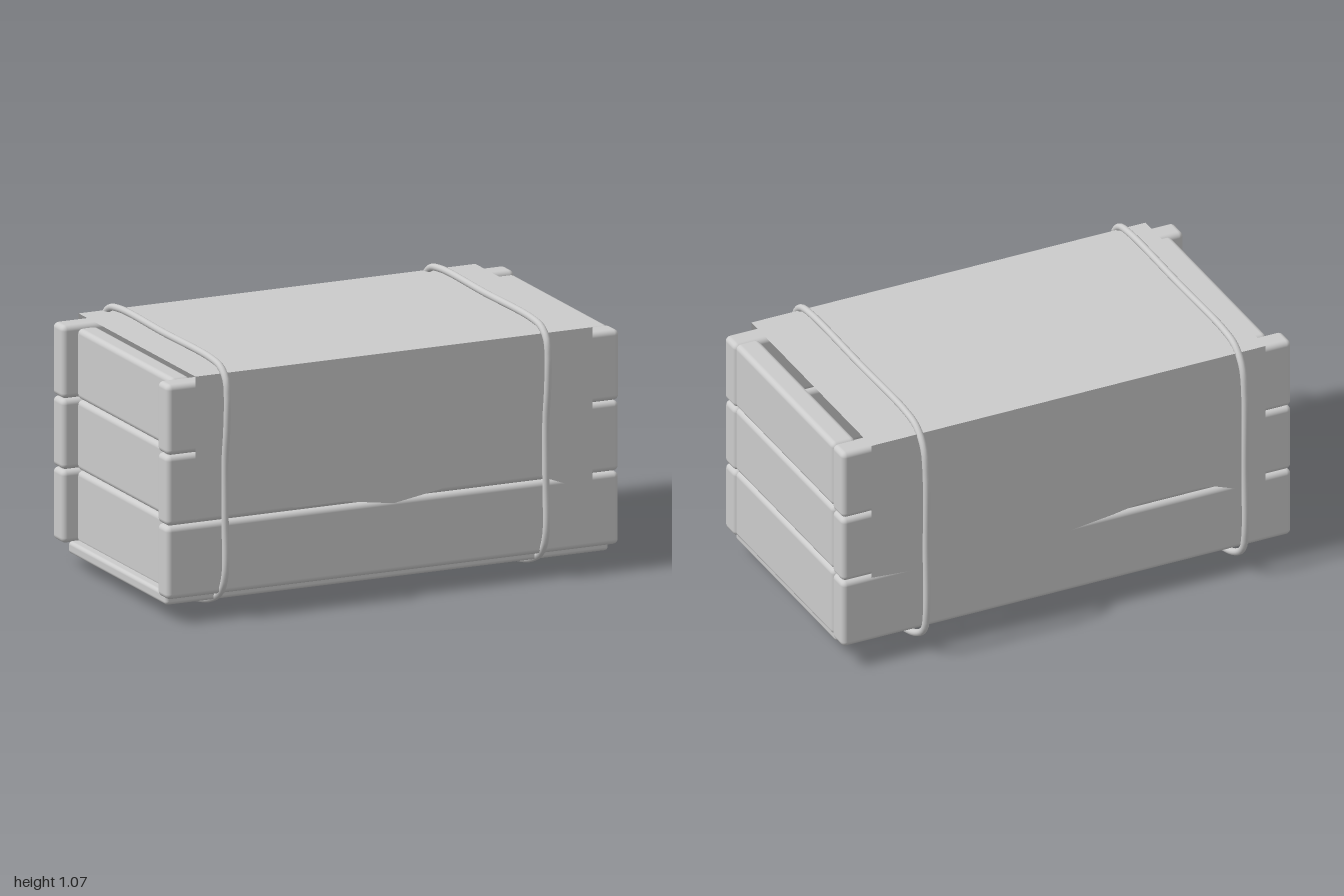
import * as THREE from 'three';
import { RoundedBoxGeometry } from 'three/addons/geometries/RoundedBoxGeometry.js';

const material = new THREE.MeshStandardMaterial({ color: 0xcccccc });
const clothMaterial = new THREE.MeshStandardMaterial({ color: 0xcccccc, side: THREE.DoubleSide });

// Board with softened edges, given by its min and max on each axis
function board(name, [x0, x1], [y0, y1], [z0, z1], radius = 0.022) {
  const geometry = new RoundedBoxGeometry(x1 - x0, y1 - y0, z1 - z0, 3, radius);
  const mesh = new THREE.Mesh(geometry, material);
  mesh.position.set((x0 + x1) / 2, (y0 + y1) / 2, (z0 + z1) / 2);
  mesh.name = name;
  return mesh;
}

// Hanging cloth panel with a ragged lower edge
function clothDrop(name, z, edge) {
  const shape = new THREE.Shape();
  shape.moveTo(-0.875, 1.01);
  edge.forEach(([x, y]) => shape.lineTo(x, y));
  shape.lineTo(0.875, 1.01);
  const mesh = new THREE.Mesh(new THREE.ShapeGeometry(shape), clothMaterial);
  mesh.position.z = z;
  mesh.name = name;
  return mesh;
}

export function createModel() {
  const model = new THREE.Group();
  model.name = 'coveredCrate';

  // Three courses of planks on each wall
  const crate = new THREE.Group();
  crate.name = 'crate';
  const courses = [[0.1, 0.4], [0.403, 0.692], [0.695, 0.985]];
  courses.forEach((y, i) => {
    const top = i === 2 ? 0.01 : 0;
    crate.add(
      board('frontPlank', [-0.998, 0.998], y, [0.445, 0.54 + top * 0.4]),
      board('backPlank', [-0.998, 0.998], [y[0], y[1] + top], [-0.518, -0.42]),
      board('leftPlank', [0.885, 0.99], y, [-0.415, 0.465]),
      board('rightPlank', [-0.94, -0.85], y, [-0.415, 0.455])
    );
  });
  crate.add(board('floorBoard', [-0.98, 0.975], [0.065, 0.115], [-0.41, 0.49], 0.015));
  model.add(crate);

  // Cloth: flat top with a drop at the front and the back
  const cloth = new THREE.Group();
  cloth.name = 'cloth';
  const top = new THREE.Mesh(new THREE.PlaneGeometry(1.75, 1.074), clothMaterial);
  top.name = 'clothTop';
  top.rotation.x = -Math.PI / 2;
  top.position.set(0, 1.01, 0.008);
  const back = clothDrop('clothBack', -0.529, [
    [-0.875, 0.4], [-0.68, 0.385], [-0.2, 0.36], [0, 0.385], [0.2, 0.41],
    [0.44, 0.45], [0.65, 0.42], [0.875, 0.335]
  ]);
  back.rotation.y = Math.PI;
  const front = clothDrop('clothFront', 0.545, [
    [-0.875, 0.42], [-0.65, 0.505], [-0.44, 0.42], [-0.22, 0.42], [0, 0.387],
    [0.2, 0.42], [0.44, 0.49], [0.65, 0.42], [0.875, 0.335]
  ]);
  cloth.add(top, front, back);
  model.add(cloth);

  // Rope loops around the crate, path given as z, y
  const path = [
    [0.44, 1.046], [0, 1.046], [-0.4, 1.046], [-0.5, 1.025], [-0.562, 0.96],
    [-0.585, 0.83], [-0.585, 0.5], [-0.586, 0.2], [-0.565, 0.125], [-0.48, 0.065],
    [-0.25, 0.017], [0, 0.014], [0.22, 0.017], [0.43, 0.055], [0.53, 0.11],
    [0.568, 0.19], [0.567, 0.4], [0.567, 0.65], [0.582, 0.78], [0.588, 0.92],
    [0.575, 0.99], [0.53, 1.03]
  ].map(([z, y]) => new THREE.Vector3(0, y, z));
  const curve = new THREE.CatmullRomCurve3(path, true, 'centripetal');
  const ropeGeometry = new THREE.TubeGeometry(curve, 160, 0.0145, 12, true);
  [-0.755, 0.66].forEach((x) => {
    const rope = new THREE.Mesh(ropeGeometry, material);
    rope.name = 'rope';
    rope.position.x = x;
    model.add(rope);
  });
  return model;
}
